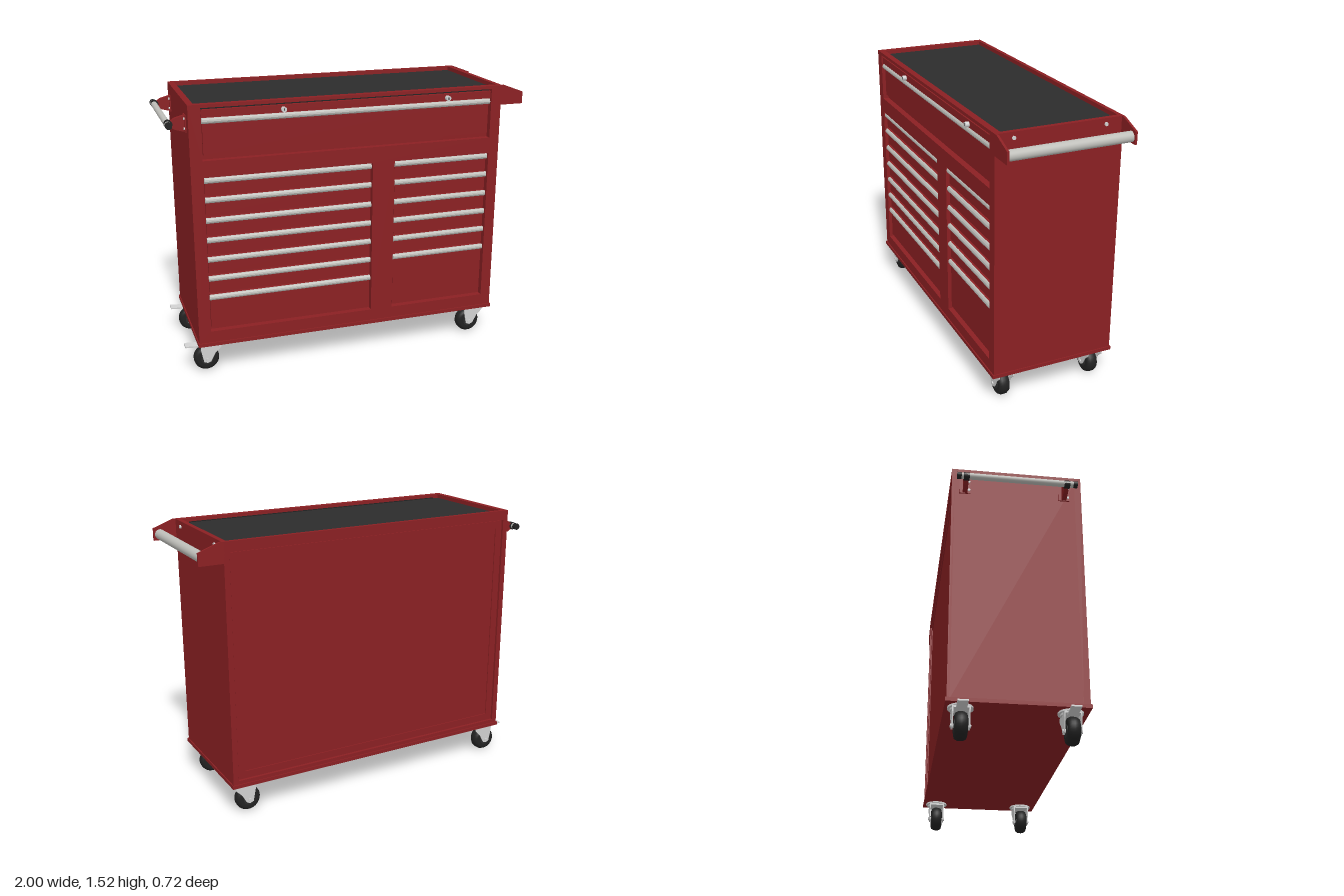
import * as THREE from 'three';

const material = (name, color, side = THREE.FrontSide) => {
  const m = new THREE.MeshStandardMaterial({ color });
  m.name = name;
  m.side = side;
  return m;
};

export function createModel() {
  const red = material('red paint', 0x8b2023);
  const dark = material('dark rubber mat', 0x2c2c2c);
  const black = material('black tyre', 0x222222);
  const silver = material('brushed metal', 0xbfbfba);
  const zinc = material('zinc caster metal', 0xd2d2d2);
  const cabinet = new THREE.Group();
  cabinet.name = 'toolCabinet';

  // helpers
  const add = (parent, name, geometry, mat, x = 0, y = 0, z = 0) => {
    const mesh = new THREE.Mesh(geometry, mat);
    mesh.name = name;
    mesh.position.set(x, y, z);
    parent.add(mesh);
    return mesh;
  };
  const box = (name, mat, x0, x1, y0, y1, z0, z1, parent = cabinet) =>
    add(parent, name, new THREE.BoxGeometry(x1 - x0, y1 - y0, z1 - z0), mat,
      (x0 + x1) / 2, (y0 + y1) / 2, (z0 + z1) / 2);
  const rect = (x0, x1, y0, y1, Type = THREE.Shape) =>
    new Type([[x0, y0], [x1, y0], [x1, y1], [x0, y1]].map(p => new THREE.Vector2(...p)));
  const frame = (outer, holes, depth) => {
    const shape = rect(...outer);
    holes.forEach(h => shape.holes.push(rect(...h, THREE.Path)));
    return new THREE.ExtrudeGeometry(shape, { depth, bevelEnabled: false });
  };
  const extrude = (points, depth) => new THREE.ExtrudeGeometry(
    new THREE.Shape(points.map(p => new THREE.Vector2(...p))), { depth, bevelEnabled: false });
  const rod = (parent, name, mat, r, length, x, y, z, axis = 'z', segments = 24) => {
    const g = new THREE.CylinderGeometry(r, r, length, segments);
    if (axis === 'z') g.rotateX(Math.PI / 2);
    if (axis === 'x') g.rotateZ(Math.PI / 2);
    return add(parent, name, g, mat, x, y, z);
  };

  // body, base flange and worktop
  const L = -0.89, R = 0.866;
  box('bodyCore', red, L, R, 0.19, 1.485, -0.335, 0.31);
  box('baseFlange', red, L - 0.006, R + 0.006, 0.175, 0.195, -0.356, 0.352);
  box('topMat', dark, -0.856, 0.846, 1.485, 1.497, -0.33, 0.31);
  const rim = frame([L, R, -0.31, 0.35], [[-0.856, 0.846, -0.31 + 0.001, 0.328]], 0.05);
  rim.rotateX(-Math.PI / 2);
  add(cabinet, 'topRim', rim, red, 0, 1.47, 0);

  // front face frame with three drawer openings
  const openings = [[-0.825, 0.807, 1.225, 1.502], [-0.825, 0.107, 0.26, 1.135], [0.235, 0.807, 0.26, 1.135]];
  add(cabinet, 'frontFrame', frame([L, R, 0.19, 1.52], openings, 0.035), red, 0, 0, 0.31);

  // back frame around a recessed panel with an inner pressed border
  add(cabinet, 'backFrame', frame([L, R, 0.19, 1.485], [[L + 0.03, R - 0.03, 0.215, 1.465]], 0.015), red, 0, 0, -0.35);
  add(cabinet, 'backPanelRidge', frame([L + 0.034, R - 0.034, 0.219, 1.461],
    [[L + 0.075, R - 0.075, 0.26, 1.42]], 0.006), red, 0, 0, -0.341);

  // drawers: a red face with a curved metal pull along the top edge
  const pullProfile = [[0, 0.015], [0.008, 0.015], [0.014, 0.01], [0.017, 0.002], [0.015, -0.007], [0.009, -0.015], [0, -0.015]];
  const drawer = (x0, x1, handleY, bottom) => {
    const g = new THREE.Group();
    g.name = 'drawer';
    cabinet.add(g);
    box('drawerFace', red, x0 + 0.008, x1 - 0.008, bottom, handleY + 0.015, 0.305, 0.327, g);
    const pull = extrude(pullProfile, x1 - x0 - 0.01);
    pull.rotateY(Math.PI / 2);
    // the rotation maps profile depth to -z, so mirror it forward about the x axis
    pull.rotateX(Math.PI);
    add(g, 'drawerPull', pull, silver, x0 + 0.005, handleY, 0.326);
  };
  drawer(-0.825, 0.807, 1.432, 1.25);
  const heights = [1.115, 1.008, 0.895, 0.785, 0.675, 0.565, 0.456];
  const column = (x0, x1, ys) => ys.forEach((y, i) =>
    drawer(x0, x1, y, i < ys.length - 1 ? ys[i + 1] + 0.03 : 0.277));
  column(-0.825, 0.107, heights);
  column(0.235, 0.807, heights.slice(0, 6));

  // lock rail above the top drawer
  box('lockRail', red, -0.822, 0.804, 1.451, 1.49, 0.305, 0.338);
  box('railGap', black, -0.822, 0.804, 1.49, 1.502, 0.308, 0.316);
  for (const x of [-0.39, 0.54]) {
    rod(cabinet, 'lock', zinc, 0.014, 0.024, x, 1.468, 0.348);
    box('lockSlot', black, x - 0.002, x + 0.002, 1.461, 1.475, 0.359, 0.361);
  }

  // push handle on the left end: back plate, sloped brackets, thick tube
  const push = new THREE.Group();
  push.name = 'pushHandle';
  cabinet.add(push);
  box('handlePlate', red, R, R + 0.006, 1.41, 1.52, -0.345, 0.34, push);
  const bracket = [[0.862, 1.41], [1, 1.41], [1, 1.477], [0.885, 1.52], [0.862, 1.52]];
  for (const z of [-0.35, 0.333]) add(push, 'handleBracket', extrude(bracket, 0.012), red, 0, 0, z);
  rod(push, 'handleTube', silver, 0.028, 0.67, 0.965, 1.443, -0.003, 'z', 32);
  for (const z of [-0.25, 0.25]) rod(push, 'screw', zinc, 0.01, 0.01, R + 0.008, 1.49, z, 'x', 12);

  // thin rail on the right end with tapered mounts and black caps
  const rail = new THREE.Group();
  rail.name = 'sideRail';
  cabinet.add(rail);
  rod(rail, 'railBar', silver, 0.017, 0.6, -0.982, 1.41, -0.012);
  for (const z of [-0.318, 0.294]) rod(rail, 'railCap', black, 0.018, 0.022, -0.982, 1.41, z);
  const mount = [[L, 1.365], [L, 1.455], [-0.945, 1.44], [-0.968, 1.425], [-0.968, 1.393], [-0.945, 1.38]];
  for (const z of [-0.28, 0.25]) {
    box('mountPlate', red, L - 0.006, L, 1.365, 1.455, z - 0.03, z + 0.03, rail);
    add(rail, 'railMount', extrude(mount.reverse(), 0.024), red, 0, 0, z - 0.012);
    rod(rail, 'railClamp', black, 0.021, 0.03, -0.978, 1.41, z);
    for (const y of [1.385, 1.437]) rod(rail, 'screw', zinc, 0.007, 0.008, L - 0.008, y, z + 0.021, 'x', 12);
  }

  // casters: the wheel trails to one side of the swivel
  const tyre = [[0.02, -0.03], [0.05, -0.032], [0.062, -0.028], [0.07, -0.014], [0.071, 0],
    [0.07, 0.014], [0.062, 0.028], [0.05, 0.032], [0.02, 0.03]].map(p => new THREE.Vector2(...p));
  const tyreGeometry = new THREE.LatheGeometry(tyre, 32).rotateX(Math.PI / 2);
  const forkSide = [[-0.02, -0.012], [0, -0.02], [0.02, -0.012], [0.045, 0.035], [0.08, 0.07],
    [0.08, 0.092], [-0.035, 0.092], [-0.035, 0.06]];
  const caster = (x, z, brake) => {
    const g = new THREE.Group();
    g.name = 'caster';
    g.position.set(x, 0.071, z);
    cabinet.add(g);
    add(g, 'wheel', tyreGeometry, black);
    rod(g, 'wheelHub', dark, 0.034, 0.066, 0, 0, 0);
    rod(g, 'axle', zinc, 0.01, 0.1, 0, 0, 0, 'z', 12);
    for (const s of [-1, 1]) add(g, 'forkSide', extrude(forkSide, 0.006), zinc, 0, 0, s * 0.041 - 0.003);
    box('forkTop', zinc, -0.035, 0.08, 0.082, 0.092, -0.044, 0.044, g);
    rod(g, 'swivel', zinc, 0.052, 0.012, 0.024, 0.09, 0, 'y');
    rod(g, 'mountDisc', zinc, 0.064, 0.01, 0.024, 0.1, 0, 'y', 32);
    if (brake) {
      const pedal = box('brakePedal', zinc, -0.118, -0.025, 0.077, 0.085, -0.026, 0.026, g);
      pedal.rotation.z = -0.08;
    }
  };
  for (const z of [-0.277, 0.26]) {
    caster(-0.843, z, true);
    caster(0.762, z, false);
  }

  return cabinet;
}
